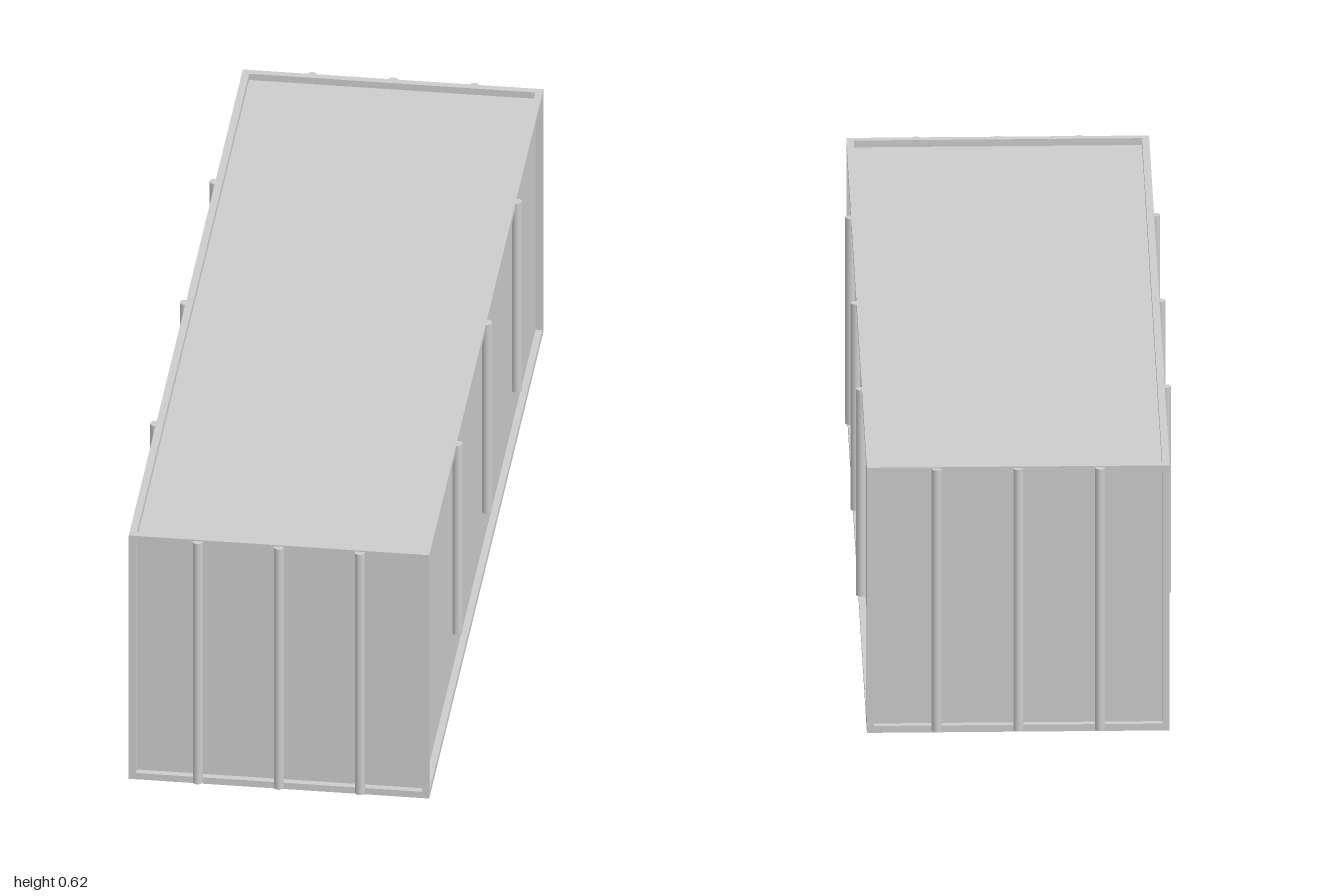
import * as THREE from 'three';

export function createModel() {
  const model = new THREE.Group();
  const material = new THREE.MeshStandardMaterial({ color: 0xcccccc });

  const X = 0.33, Z = 0.987, H = 0.62; // half width, half length, height
  const T = 0.016; // frame bar thickness

  const add = (name, geometry, x, y, z) => {
    const mesh = new THREE.Mesh(geometry, material);
    mesh.name = name;
    mesh.position.set(x, y, z);
    model.add(mesh);
  };

  // Panelled body, set back inside the frame on every side
  add('body', new THREE.BoxGeometry(2 * (X - T) + 0.002, H - 2 * T, 2 * (Z - T) + 0.002), 0, H / 2, 0);

  // Frame: four posts, four long rails, four cross rails
  for (const a of [-1, 1]) {
    for (const b of [-1, 1]) {
      const railY = H / 2 + b * (H / 2 - T / 2);
      add('cornerPost', new THREE.BoxGeometry(T, H, T), a * (X - T / 2), H / 2, b * (Z - T / 2));
      add('longRail', new THREE.BoxGeometry(T, T, 2 * (Z - T)), a * (X - T / 2), railY, 0);
      add('crossRail', new THREE.BoxGeometry(2 * (X - T), T, T), 0, railY, a * (Z - T / 2));
    }
  }

  // Round bars: full height on the ends, shorter on the long sides
  const endBar = new THREE.CylinderGeometry(0.011, 0.011, 0.612, 20);
  const sideBar = new THREE.CylinderGeometry(0.011, 0.011, 0.482, 20);
  for (const side of [-1, 1]) {
    for (const i of [-1, 0, 1]) {
      add('endBar', endBar, i * 0.178, 0.311, side * 0.989);
      add('sideBar', sideBar, side * 0.332, 0.379, i * 0.513);
    }
  }
  return model;
}
